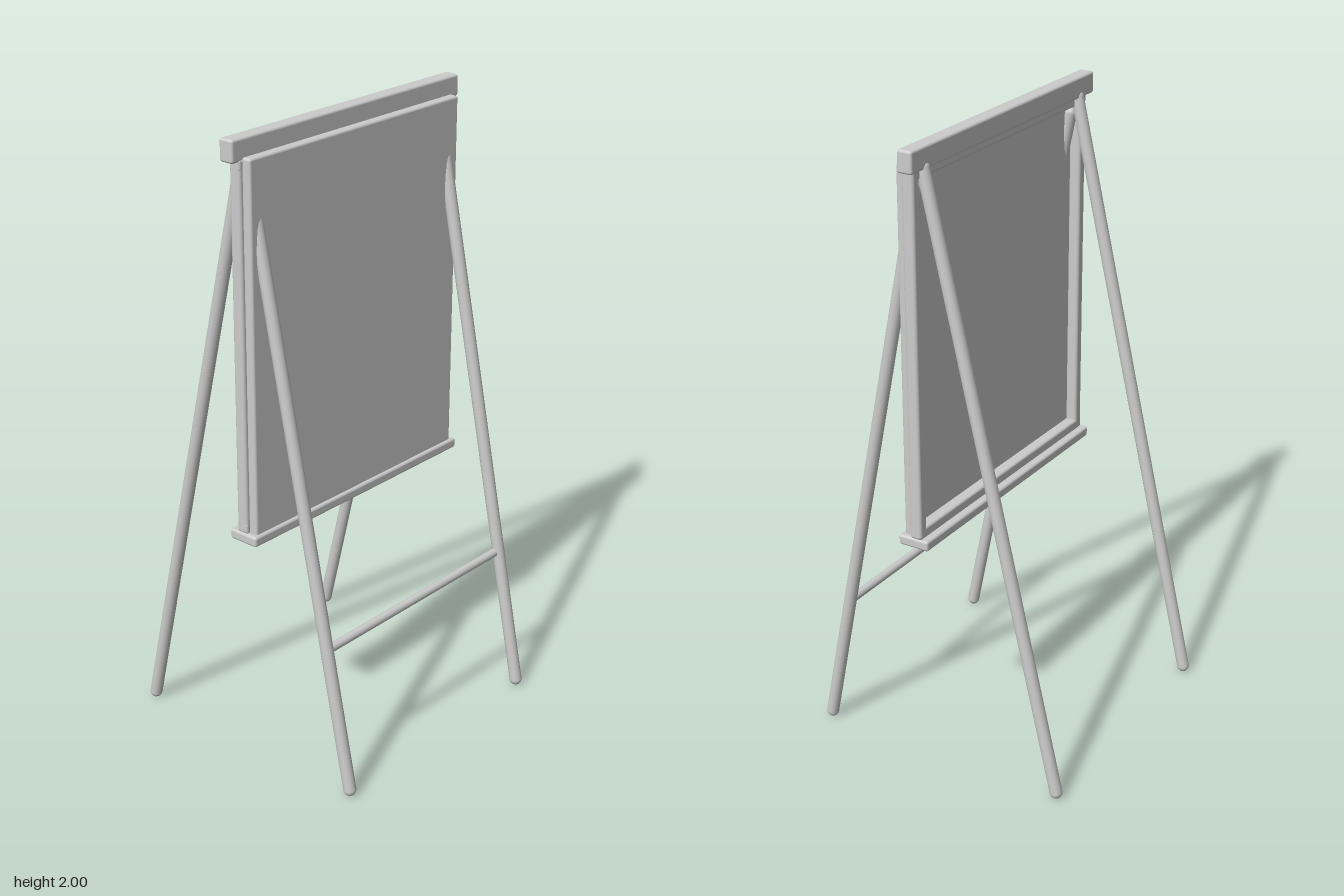
import * as THREE from 'three';
import { RoundedBoxGeometry } from 'three/addons/geometries/RoundedBoxGeometry.js';

export function createModel() {
  const group = new THREE.Group();
  const grey = new THREE.MeshStandardMaterial({ color: 0xcccccc });
  grey.name = 'lightGrey';

  const add = (name, geometry) => {
    const mesh = new THREE.Mesh(geometry, grey);
    mesh.name = name;
    group.add(mesh);
    return mesh;
  };
  // Rounded block given by its min and max corners
  const block = (name, [x0, y0, z0], [x1, y1, z1], r) =>
    add(name, new RoundedBoxGeometry(x1 - x0, y1 - y0, z1 - z0, 3, r))
      .position.set((x0 + x1) / 2, (y0 + y1) / 2, (z0 + z1) / 2);
  // Round-ended rod between two points (the ends include the caps)
  const rod = (name, a, b, r) => {
    const from = new THREE.Vector3(...a), to = new THREE.Vector3(...b);
    const dir = to.clone().sub(from);
    const mesh = add(name, new THREE.CapsuleGeometry(r, dir.length() - 2 * r, 5, 16));
    mesh.position.copy(from).add(to).multiplyScalar(0.5);
    mesh.quaternion.setFromUnitVectors(new THREE.Vector3(0, 1, 0), dir.normalize());
  };

  // Writing board, top cap and pen tray
  block('boardPanel', [-0.463, 0.785, 0.06], [0.458, 1.945, 0.093], 0.008);
  block('topCap', [-0.5, 1.932, 0.012], [0.497, 2, 0.062], 0.008);
  block('tray', [-0.48, 0.76, 0.0], [0.476, 0.793, 0.104], 0.008);

  // Frame behind the board
  block('frameTop', [-0.475, 1.905, 0.024], [0.473, 1.94, 0.064], 0.008);
  block('frameBottom', [-0.475, 0.79, 0.024], [0.473, 0.825, 0.064], 0.008);
  for (const [side, s] of [['left', 1], ['right', -1]]) {
    const x = s * 0.457;
    block(side + 'FrameSide', [x - 0.018, 0.79, 0.024], [x + 0.018, 1.94, 0.064], 0.01);

    // Splayed legs
    rod(side + 'FrontLeg', [s * 0.422, 0.004, 0.43], [s * 0.422, 1.9, 0.046], 0.02);
    rod(side + 'RearLeg', [s * 0.422, 0.004, -0.426], [s * 0.422, 1.955, 0.03], 0.02);
  }

  // Brace between the front legs
  rod('crossbar', [-0.425, 0.473, 0.33], [0.425, 0.473, 0.33], 0.014);

  return group;
}
